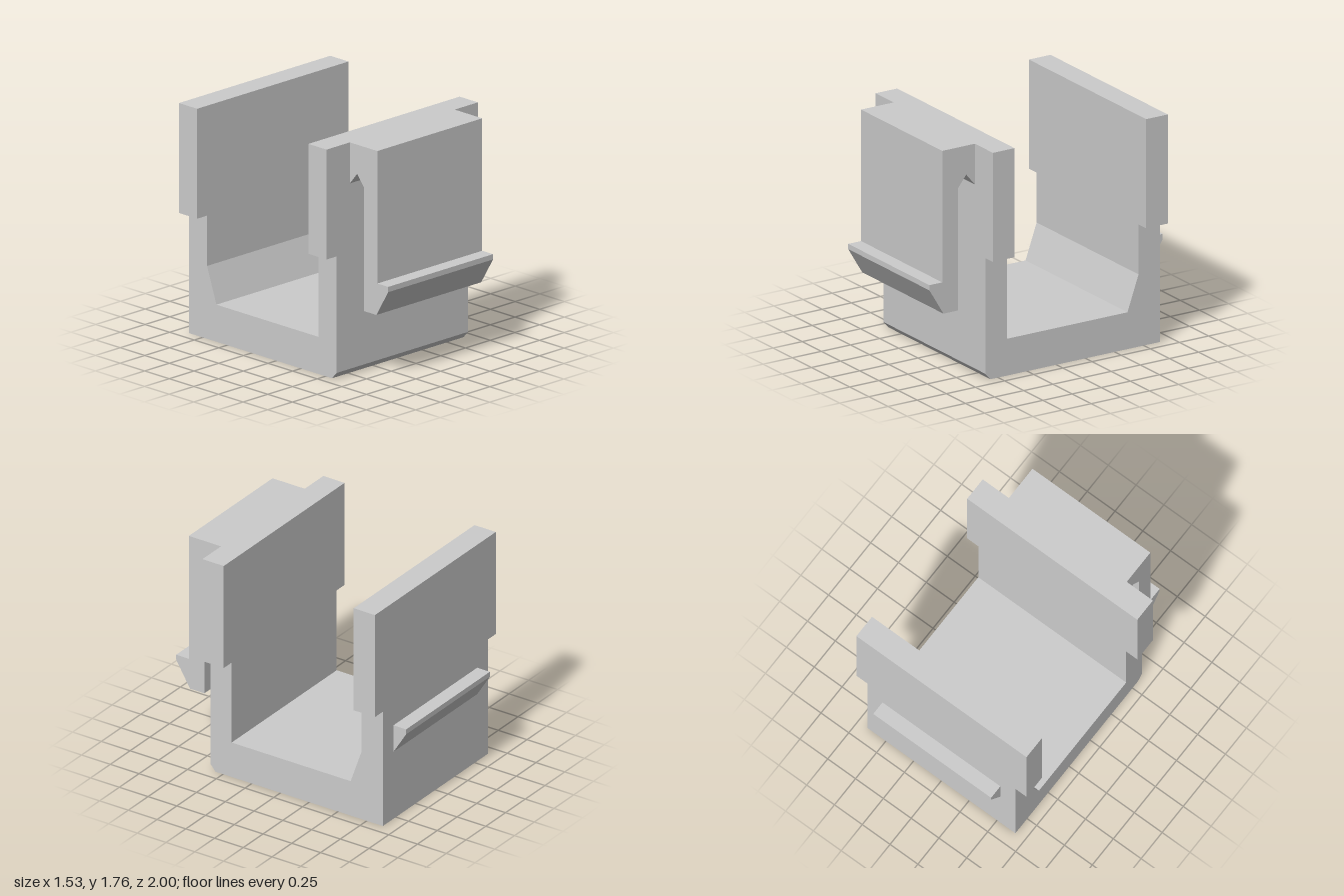
import * as THREE from 'three';

const material = new THREE.MeshStandardMaterial({ color: 0xcccccc, flatShading: true });

// Extrudes a side profile of [z, y] points across x, centred on x = 0
function profilePart(name, points, width) {
  const shape = new THREE.Shape(points.map(([z, y]) => new THREE.Vector2(z, y)));
  const geometry = new THREE.ExtrudeGeometry(shape, { depth: width, bevelEnabled: false });
  geometry.translate(0, 0, -width / 2);
  geometry.rotateY(-Math.PI / 2);
  const mesh = new THREE.Mesh(geometry, material);
  mesh.name = name;
  return mesh;
}

export function createModel() {
  const group = new THREE.Group();
  group.name = 'clipBracket';

  const bodyWidth = 1.33, wallWidth = 1.53, clipWidth = 1.06;
  const top = 1.76, shoulder = 0.93;
  const frontOut = 0.61, frontIn = 0.425, backIn = -0.705, backOut = -0.89;

  // U-shaped channel with a chamfered front edge and a sloped rear corner
  group.add(profilePart('channelBody', [
    [frontOut, 0.05], [frontOut, shoulder], [frontIn, shoulder], [frontIn, 0.28],
    [-0.61, 0.28], [backIn, 0.55], [backIn, shoulder], [backOut, shoulder],
    [backOut, 0], [0.565, 0],
  ], bodyWidth));

  // Wider upper walls
  for (const [name, outer, inner] of [
    ['frontUpperWall', frontOut, frontIn],
    ['backUpperWall', backIn, backOut],
  ]) {
    group.add(profilePart(name, [
      [outer, shoulder], [outer, top], [inner, top], [inner, shoulder],
    ], wallWidth));
  }

  // Hanging spring arm, joined to the front wall over a pointed slot
  group.add(profilePart('springArm', [
    [frontOut, top], [frontOut, 1.45], [0.685, 1.54], [0.755, 1.45], [0.755, 0.52],
    [0.88, 0.52], [1, 0.72], [1, 0.76], [0.89, 0.76], [0.89, top],
  ], clipWidth));

  // Catch on the outside of the rear wall
  group.add(profilePart('rearCatch', [
    [backOut, 0.76], [-1, 0.76], [-1, 0.72], [backOut, 0.545],
  ], clipWidth));

  return group;
}
